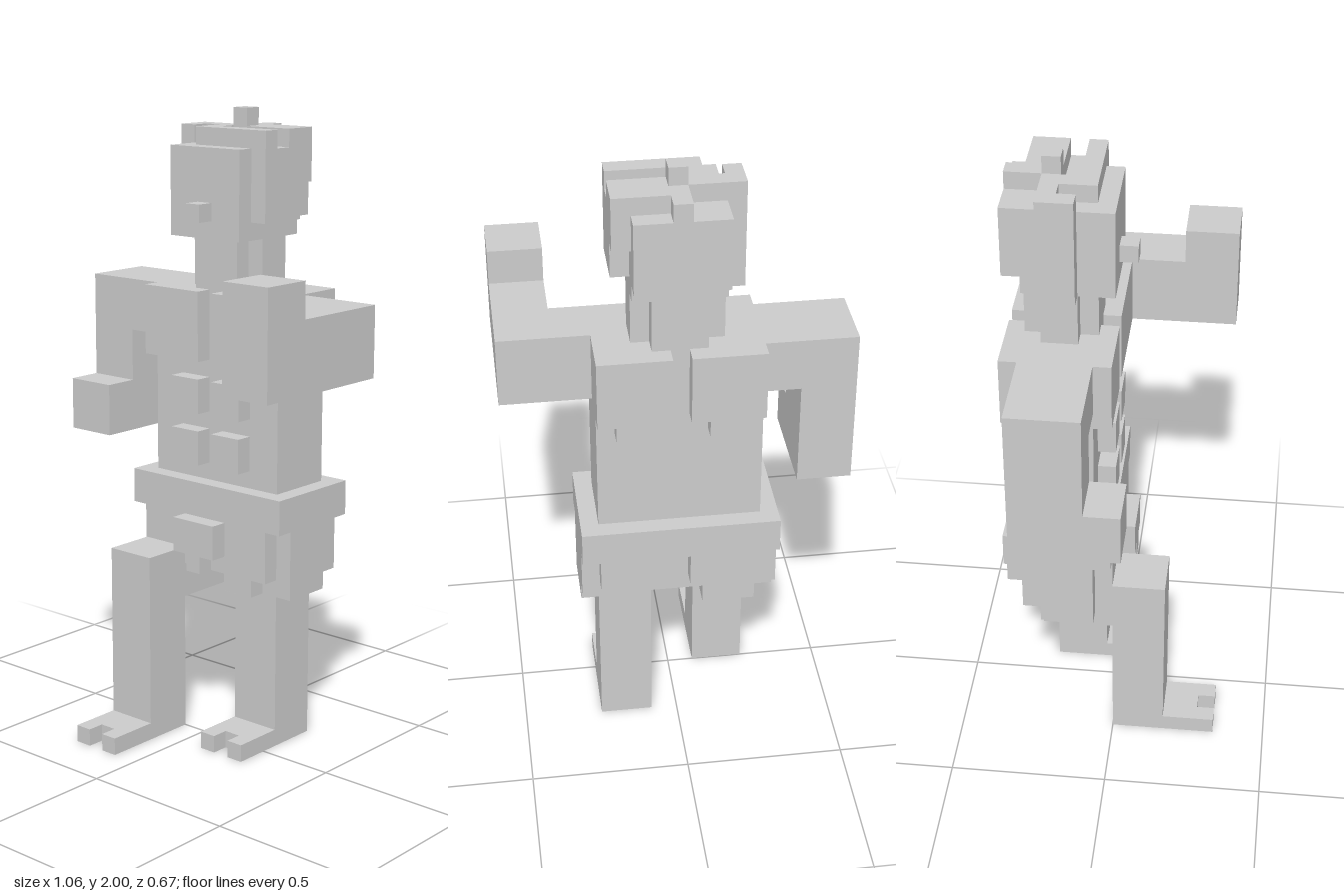
import * as THREE from 'three';

const U = 1 / 18; // one voxel
const material = new THREE.MeshStandardMaterial({ color: 0xcccccc, flatShading: true });

// Box given by its voxel limits on each axis
function box(x0, x1, y0, y1, z0, z1) {
  const mesh = new THREE.Mesh(new THREE.BoxGeometry((x1 - x0) * U, (y1 - y0) * U, (z1 - z0) * U), material);
  mesh.position.set((x0 + x1) * U / 2, (y0 + y1) * U / 2, (z0 + z1) * U / 2);
  return mesh;
}

// Named group of boxes
function part(name, ...boxes) {
  const group = new THREE.Group();
  group.name = name;
  boxes.forEach((b, i) => {
    const mesh = box(...b);
    mesh.name = boxes.length > 1 ? `${name}Block${i + 1}` : name;
    group.add(mesh);
  });
  return group;
}

// A box and its twin on the other side of x = 0
const pair = (x0, x1, ...rest) => [[x0, x1, ...rest], [-x1, -x0, ...rest]];

// Shin with a flat, two-toed foot; z is the back of the shin
function leg(name, x, top, z) {
  return part(name,
    [x, x + 3, 0, top, z, z + 3],
    [x, x + 3, 0, 1, z + 3, z + 5],
    [x, x + 1, 0, 1, z + 5, z + 6],
    [x + 2, x + 3, 0, 1, z + 5, z + 6]);
}

export function createModel() {
  const model = new THREE.Group();
  model.name = 'voxelFigure';

  // Legs, the right one stepping forward
  model.add(
    leg('leftLeg', 1.5, 10, -4),
    leg('rightLeg', -4.5, 11, 0),
    part('rightThigh', [-4.5, -1.5, 8, 11, -4, 0]));

  // Shorts: waistband, core, side, back and front panels, ragged hem
  model.add(
    part('waistband', [-5.5, 5.5, 13, 15, -6, 0]),
    part('shorts', [-4.5, 4.5, 10, 13, -5, 0]),
    part('shortsSides', ...pair(4.5, 5.5, 10, 13, -5, -1), ...pair(4.5, 5.5, 9, 10, -4, -1)),
    part('shortsBack', ...pair(0.5, 4.5, 11, 13, -6, -5)),
    part('shortsHem', [1.5, 3.5, 9, 10, -1, 0]),
    part('shortsFront', [-1.5, 1.5, 11, 13, 0, 1], [-0.5, 0.5, 10, 11, 0, 1]));

  // Torso with muscles
  model.add(
    part('torso', [-4.5, 4.5, 15, 26, -5, -1]),
    part('abdominals', ...pair(0.5, 2.5, 16, 18, -1, 0), ...pair(0.5, 2.5, 19, 21, -1, 0)),
    part('chest', ...pair(0.5, 4.5, 22, 26, -1, 0)),
    part('shoulderBlades', ...pair(0.5, 4.5, 22, 26, -6, -5), ...pair(1.5, 3.5, 21, 22, -6, -5)));

  // Arms: right hanging, left bent forward with a raised fist
  model.add(
    part('rightUpperArm', [-6.5, -4.5, 23, 26, -5, -1]),
    part('rightForearm', [-9.5, -6.5, 17, 26, -5, -1]),
    part('rightHand', [-9.5, -6.5, 17, 20, -1, 1]),
    part('leftUpperArm', [4.5, 9.5, 22, 26, -3, 0]),
    part('leftForearm', [6.5, 9.5, 22, 26, 0, 3]),
    part('leftFist', [6.5, 9.5, 22, 28, 3, 6]));

  // Neck and head
  model.add(
    part('neck', [-1.5, 1.5, 26, 29, -5, -1], ...pair(1.5, 2.5, 26, 29, -4, -2)),
    part('head', [-2.5, 2.5, 29, 34, -5, 0]),
    part('nose', [-0.5, 0.5, 30, 31, 0, 1]));

  // Hair: side locks, back, uneven top and a tuft
  model.add(
    part('rightHair', [-3.5, -2.5, 29, 34, -4, -2]),
    part('leftHair', [2.5, 3.5, 30, 34, -4, -1], [2.5, 3.5, 32, 34, -5, -4]),
    part('backHair', [-2.5, 2.5, 30, 34, -6, -5]),
    part('topHair',
      [-1.5, 3.5, 34, 35, -2, -1],
      [-1.5, -0.5, 34, 35, -3, -2],
      [-3.5, -2.5, 34, 35, -3, -2],
      [-3.5, 3.5, 34, 35, -4, -3],
      [0.5, 3.5, 34, 35, -5, -4],
      [-0.5, 0.5, 34, 35, -6, -4]),
    part('hairTuft', [-0.5, 0.5, 35, 36, -4, -3]));

  return model;
}
